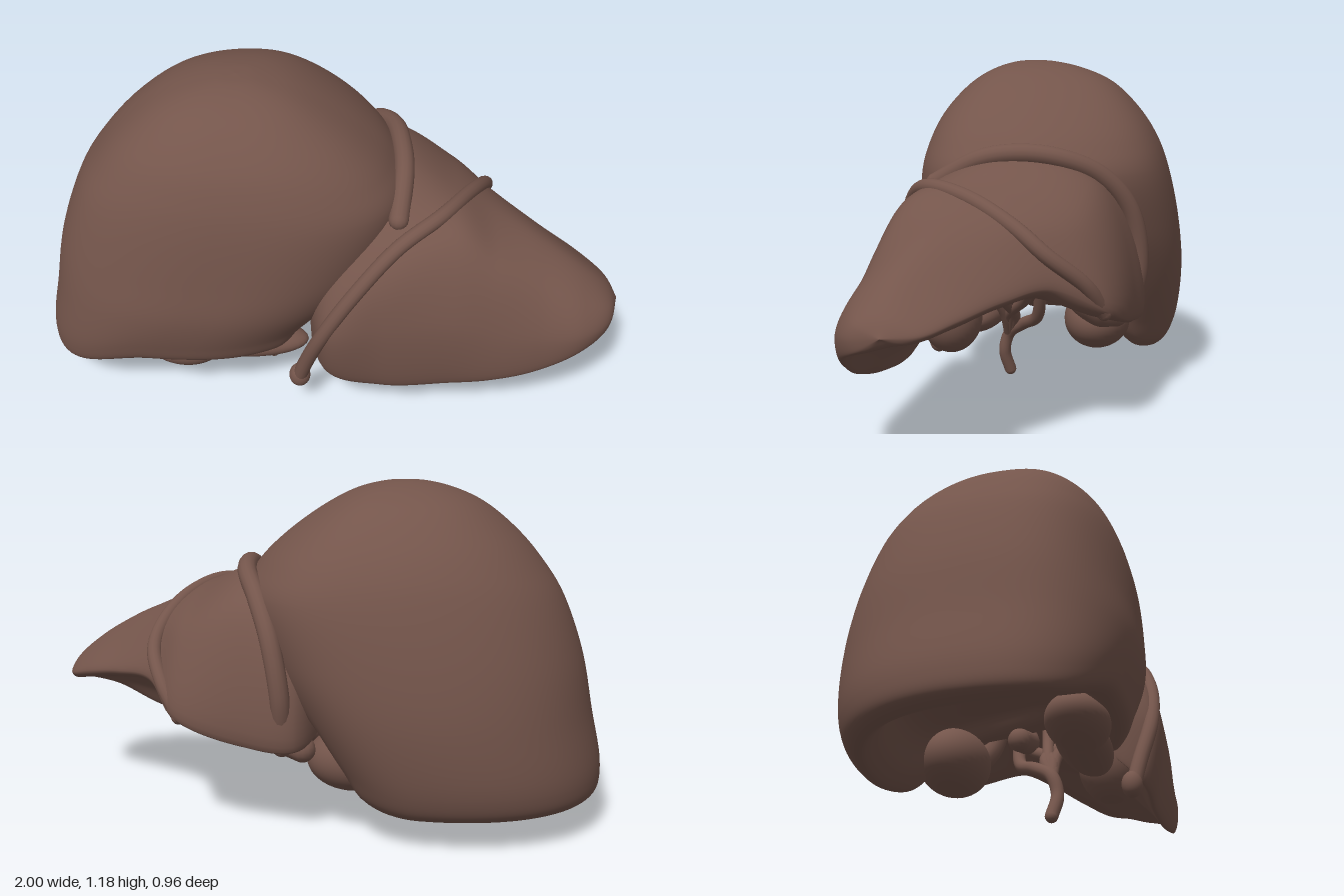
import * as THREE from 'three';

const V = (x, y, z) => new THREE.Vector3(x, y, z);
const smooth = THREE.MathUtils.smoothstep;
const brown = new THREE.MeshStandardMaterial({ color: 0x74554b });
brown.name = 'liverBrown';

// Smooth skin through closed rings holding equal numbers of points
function loft(rings, steps) {
  const n = rings[0].length, pos = [], idx = [];
  const columns = rings[0].map((_, j) => new THREE.CatmullRomCurve3(rings.map((r) => r[j])));
  for (let i = 0; i <= steps; i++) {
    for (let j = 0; j < n; j++) {
      const p = columns[j].getPoint(i / steps);
      pos.push(p.x, p.y, p.z);
      if (i === steps) continue;
      const a = i * n + j, b = i * n + (j + 1) % n, c = a + n, d = b + n;
      idx.push(a, c, b, b, c, d);
    }
  }
  const g = new THREE.BufferGeometry();
  g.setAttribute('position', new THREE.Float32BufferAttribute(pos, 3));
  g.setIndex(idx);
  g.computeVertexNormals();
  return g;
}

// Big domed lobe: layers of [y, xMin, xMax, zBack, zFront], down the outside then up the hollow
function rightLobe() {
  const layers = [
    [1.18, -0.3, -0.3, 0.06, 0.06],
    [1.175, -0.37, -0.23, -0.01, 0.13],
    [1.15, -0.47, -0.13, -0.12, 0.21],
    [1.1, -0.575, -0.03, -0.23, 0.29],
    [1.0, -0.695, 0.11, -0.335, 0.375],
    [0.9, -0.78, 0.21, -0.4, 0.42],
    [0.8, -0.845, 0.265, -0.437, 0.445],
    [0.6, -0.92, 0.21, -0.472, 0.468],
    [0.4, -0.96, 0.11, -0.48, 0.477],
    [0.2, -0.997, 0.0, -0.45, 0.455],
    [0.125, -0.985, -0.04, -0.415, 0.43],
    [0.105, -0.93, -0.08, -0.38, 0.39],
    [0.15, -0.87, -0.13, -0.33, 0.33],
    [0.29, -0.78, -0.18, -0.25, 0.24],
    [0.38, -0.6, -0.3, -0.1, 0.1],
    [0.4, -0.45, -0.45, 0, 0],
  ];
  const rings = layers.map(([y, x0, x1, z0, z1]) => {
    const ring = [], rx = (x1 - x0) / 2, rz = (z1 - z0) / 2;
    for (let j = 0; j < 96; j++) {
      const t = (j / 96) * Math.PI * 2, c = Math.cos(t), s = -Math.sin(t);
      // Boxier in front, rounder and skewed toward the middle behind
      const e = s > 0 ? 0.78 : 0.94;
      const k = Math.sign(c) * Math.abs(c) ** e;
      const m = Math.sign(s) * Math.abs(s) ** e;
      const x = (x0 + x1) / 2 + rx * (k + (s < 0 ? 0.15 * s * s * (1 - k * k) : 0));
      const z = (z0 + z1) / 2 + rz * (m + 0.12 * k * k * (1 - m * m));
      // The rim is lifted along the front and opens toward the middle of the body
      const low = smooth(0.6 - y, 0, 0.45);
      const front = smooth(z, -0.1, 0.4) * smooth(x, -1, -0.6);
      const inner = smooth(x, -0.4, 0);
      const gate = smooth(x, -0.35, -0.05) * (1 - smooth(Math.abs(z), 0.2, 0.36));
      ring.push(V(x, y + low * (0.12 * front * (1 - 0.5 * inner) + 0.06 * inner + 0.2 * gate), z));
    }
    return ring;
  });
  return loft(rings, 120);
}

// Wedge lobe: x, then nine z,y pairs over the outer skin and back along the hollow underside
function leftLobe() {
  const sections = [
    [0, 0.4, 0.2, 0.45, 0.4, 0.38, 0.55, 0.1, 0.72, -0.29, 0.66, -0.37, 0.32, -0.3, 0.32, 0.05, 0.48, 0.36, 0.26],
    [0.2, 0.42, 0.15, 0.46, 0.44, 0.39, 0.68, 0.08, 0.87, -0.27, 0.78, -0.38, 0.33, -0.3, 0.34, 0.02, 0.53, 0.36, 0.24],
    [0.43, 0.42, 0.17, 0.45, 0.46, 0.33, 0.75, 0.1, 0.79, -0.22, 0.68, -0.345, 0.4, -0.28, 0.39, 0.02, 0.55, 0.36, 0.25],
    [0.57, 0.425, 0.195, 0.44, 0.42, 0.35, 0.66, 0.15, 0.72, -0.05, 0.66, -0.18, 0.5, -0.13, 0.47, 0.08, 0.52, 0.35, 0.28],
    [0.72, 0.42, 0.24, 0.43, 0.4, 0.35, 0.58, 0.2, 0.65, 0.05, 0.6, -0.07, 0.49, -0.03, 0.46, 0.14, 0.5, 0.36, 0.32],
    [0.87, 0.4, 0.32, 0.415, 0.4, 0.36, 0.5, 0.24, 0.56, 0.13, 0.53, 0.03, 0.46, 0.06, 0.43, 0.2, 0.44, 0.35, 0.36],
    [0.965, 0.33, 0.37, 0.345, 0.41, 0.32, 0.455, 0.24, 0.48, 0.17, 0.465, 0.12, 0.43, 0.14, 0.41, 0.21, 0.395, 0.3, 0.37],
  ];
  const rings = sections.map(([x, ...q]) => {
    const pts = [];
    for (let i = 0; i < q.length; i += 2) pts.push(V(x, q[i + 1], q[i]));
    const curve = new THREE.CatmullRomCurve3(pts, true);
    return Array.from({ length: 90 }, (_, j) => curve.getPoint(j / 90));
  });
  const point = (x, y, z) => rings[0].map(() => V(x, y, z));
  return loft([point(-0.08, 0.5, 0.05), ...rings, point(1, 0.425, 0.23)], 96);
}

export function createModel() {
  const model = new THREE.Group();
  model.name = 'liver';
  const add = (name, geometry, parent = model) => {
    const mesh = new THREE.Mesh(geometry, brown);
    mesh.name = name;
    parent.add(mesh);
    return mesh;
  };
  // Round-ended tube along a smooth path
  const vessel = (name, radius, points) => {
    const group = new THREE.Group();
    group.name = name;
    const path = new THREE.CatmullRomCurve3(points.map((p) => V(...p)));
    add(name + 'Tube', new THREE.TubeGeometry(path, 60, radius, 14), group);
    for (const t of [0, 1]) {
      add(name + 'End', new THREE.SphereGeometry(radius, 14, 10), group).position.copy(path.getPoint(t));
    }
    model.add(group);
  };
  const blob = (name, center, size, tilt = 0) => {
    const mesh = add(name, new THREE.SphereGeometry(1, 36, 24));
    mesh.position.set(...center);
    mesh.scale.set(...size);
    mesh.rotation.z = tilt;
  };

  add('rightLobe', rightLobe());
  add('leftLobe', leftLobe());
  blob('leftLobeBulge', [0.07, 0.28, 0.29], [0.12, 0.13, 0.11]);

  // Ligament between the lobes, with its hanging cord
  vessel('ligament', 0.026, [
    [-0.085, 0.15, 0.39], [-0.06, 0.24, 0.41], [0, 0.4, 0.445], [0.1, 0.57, 0.435], [0.24, 0.725, 0.37],
    [0.38, 0.785, 0.27], [0.48, 0.76, 0.1], [0.54, 0.68, -0.06], [0.55, 0.6, -0.16], [0.49, 0.5, -0.27], [0.42, 0.4, -0.32],
  ]);
  blob('ligamentTip', [-0.085, 0.15, 0.385], [0.037, 0.045, 0.035]);
  // Raised border of the right lobe
  vessel('lobeBorder', 0.034, [
    [0.24, 0.78, 0.29], [0.255, 0.865, 0.13], [0.245, 0.885, 0], [0.22, 0.87, -0.13],
    [0.16, 0.81, -0.26], [0.1, 0.69, -0.35], [0.06, 0.5, -0.38], [0.06, 0.32, -0.34],
  ]);

  // Gallbladder and the small lobe behind it
  blob('gallbladder', [-0.5, 0.205, 0.29], [0.14, 0.075, 0.1], -0.1);
  blob('gallbladderNeck', [-0.3, 0.215, 0.27], [0.24, 0.06, 0.085]);
  blob('caudateLobe', [-0.16, 0.25, -0.2], [0.16, 0.11, 0.12]);

  // Ducts and vessels fanning out under the lobes
  vessel('mainDuct', 0.022, [
    [-0.2, 0.022, 0.14], [-0.175, 0.1, 0.155], [-0.165, 0.17, 0.135], [-0.12, 0.22, 0.07], [-0.04, 0.27, 0], [0.03, 0.4, -0.02], [0.08, 0.55, 0],
  ]);
  const fan = [[0.2, 0.56, 0.12], [0.08, 0.54, 0.07], [0.24, 0.56, -0.03], [-0.02, 0.5, 0.18]];
  fan.forEach(([x, y, z], i) => {
    vessel('branchVessel', 0.02, [
      [-0.165, 0.17, 0.135], [-0.11, 0.25, 0.1 + i * 0.012], [x * 0.35 - 0.04, 0.36, z * 0.7 + 0.04], [x, y, z],
    ]);
  });
  vessel('portalVein', 0.04, [[-0.14, 0.32, 0.02], [-0.02, 0.36, 0.02], [0.1, 0.45, -0.02], [0.22, 0.56, -0.04]]);
  vessel('venaCava', 0.045, [[0.0, 0.3, -0.29], [0.08, 0.32, -0.24], [0.14, 0.4, -0.17], [0.2, 0.54, -0.14]]);
  return model;
}
